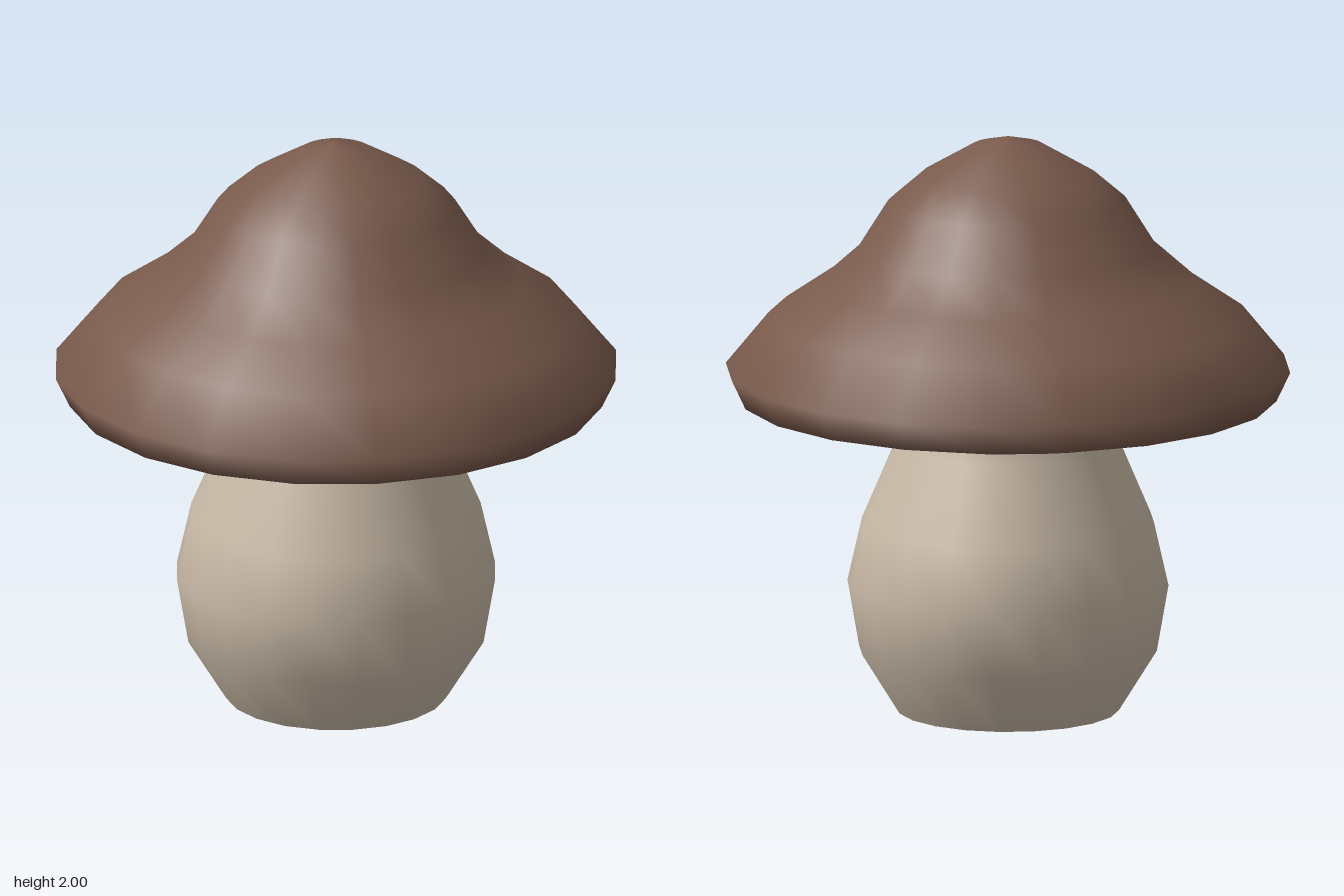
import * as THREE from 'three';

const SIDES = 20;

// Smooth turned part from [radius, height] pairs, listed from the bottom up
function turned(name, profile, color) {
  const points = profile.map(([r, y]) => new THREE.Vector2(r, y));
  const mesh = new THREE.Mesh(
    new THREE.LatheGeometry(points, SIDES),
    new THREE.MeshStandardMaterial({ color })
  );
  mesh.name = name;
  return mesh;
}

export function createModel() {
  const model = new THREE.Group();
  model.name = 'mushroom';

  // Bulbous stem, its top tucked into the cap
  const stemColor = 0xc8b9a6;
  const stem = turned('stem', [
    [0.38, 0], [0.51, 0.21], [0.55, 0.44], [0.5, 0.66],
    [0.385, 0.93], [0.36, 1.05], [0.34, 1.2],
  ], stemColor);

  // Flat underside of the stem, kept separate for a sharp rim
  const base = new THREE.Mesh(
    new THREE.CircleGeometry(0.38, SIDES).rotateX(Math.PI / 2),
    new THREE.MeshStandardMaterial({ color: stemColor })
  );
  base.name = 'stemBase';

  // Cap: hollowed underside, rolled rim, flared skirt and domed crown
  const cap = turned('cap', [
    [0, 1.15], [0.35, 1.13], [0.655, 1.03], [0.92, 1.09], [0.967, 1.19],
    [0.82, 1.37], [0.645, 1.49], [0.51, 1.61], [0.41, 1.77],
    [0.3, 1.865], [0.12, 1.97], [0, 2],
  ], 0x795a4c);

  model.add(stem, base, cap);
  return model;
}
